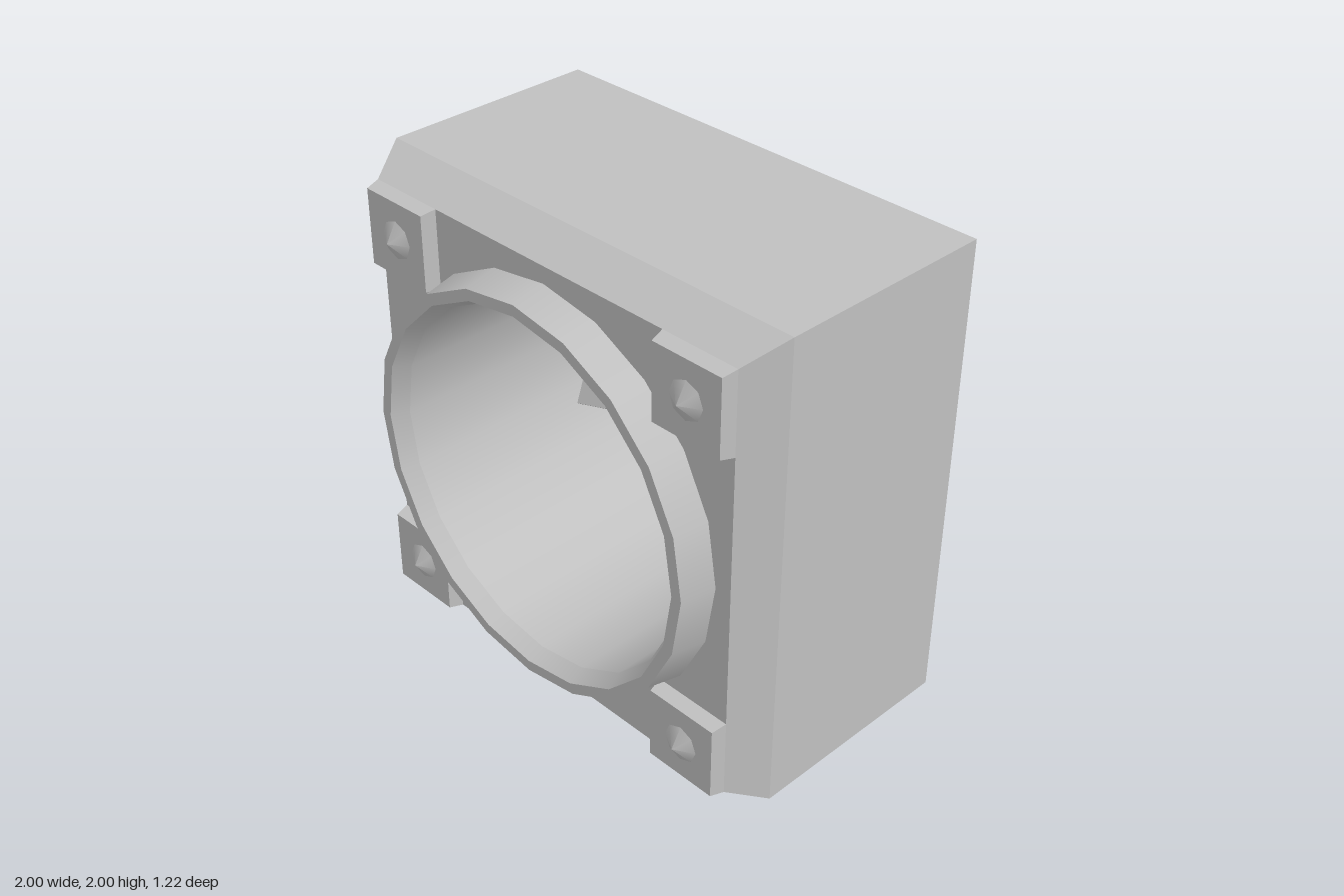
import * as THREE from 'three';

export function createModel() {
  const model = new THREE.Group();
  const body = new THREE.Group(); // centred on the fan axis
  body.name = 'fanUnit';
  body.position.y = 1;
  model.add(body);

  const grey = new THREE.MeshStandardMaterial({ color: 0xc0c0c0, side: THREE.DoubleSide });
  grey.name = 'grey';

  const add = (geometry, name, parent = body) => {
    const mesh = new THREE.Mesh(geometry, grey);
    mesh.name = name;
    parent.add(mesh);
    return mesh;
  };
  const flat = (geometry) => {
    const g = geometry.toNonIndexed();
    g.computeVertexNormals();
    return g;
  };
  // Square frustum along z, from half-width h0 at z0 to h1 at z1
  const square = (h0, z0, h1, z1, open) => flat(
    new THREE.CylinderGeometry(h1 * Math.SQRT2, h0 * Math.SQRT2, z1 - z0, 4, 1, open)
      .rotateY(Math.PI / 4).rotateX(Math.PI / 2).translate(0, 0, (z0 + z1) / 2));
  // Round band about the z axis between two radius/depth pairs
  const band = (r0, z0, r1, z1, sides = 20) => new THREE.LatheGeometry(
    [new THREE.Vector2(r0, z0), new THREE.Vector2(r1, z1)], sides).rotateX(Math.PI / 2);

  // Housing: thin shell, open at the back, with a chamfered front
  add(square(1, -0.61, 1, 0.31, true), 'housingWalls');
  add(square(1, 0.31, 0.915, 0.47, true), 'housingChamfer');
  const plate = new THREE.Shape([[-1, -1], [1, -1], [1, 1], [-1, 1]]
    .map(([x, y]) => new THREE.Vector2(x * 0.915, y * 0.915)));
  const hole = [];
  for (let i = 0; i < 20; i++) {
    const a = -i * Math.PI / 10;
    hole.push(new THREE.Vector2(Math.cos(a) * 0.74, Math.sin(a) * 0.74));
  }
  plate.holes.push(new THREE.Path(hole));
  add(new THREE.ShapeGeometry(plate).translate(0, 0, 0.47), 'frontPlate');

  // Corner pads with pointed bolts
  for (const x of [-0.747, 0.747]) {
    for (const y of [-0.747, 0.747]) {
      const corner = new THREE.Group();
      corner.name = 'cornerMount';
      corner.position.set(x, y, 0);
      body.add(corner);
      add(square(0.168, 0.47, 0.156, 0.53), 'cornerPad', corner);
      add(new THREE.ConeGeometry(0.078, 0.045, 8, 1, true)
        .rotateX(Math.PI / 2).translate(0, 0, 0.5525), 'bolt', corner);
    }
  }

  // Air duct: front rim, tube and back flange
  add(band(0.845, 0.47, 0.818, 0.61), 'rimOuter');
  add(band(0.818, 0.61, 0.772, 0.61), 'rimFace');
  add(band(0.772, 0.61, 0.74, 0.54), 'rimInner');
  add(band(0.74, 0.54, 0.74, -0.57), 'ductTube');
  add(band(0.74, -0.57, 0.575, -0.57), 'backFlange');

  // Half-pipe bars across the back
  const halfPipe = (r) => new THREE.CylinderGeometry(r, r, 1.69, 12, 1, true, -Math.PI / 2, Math.PI);
  add(halfPipe(0.112).rotateZ(Math.PI / 2).translate(0, 0, -0.59), 'crossBar');
  for (const x of [-0.19, 0, 0.19]) {
    add(halfPipe(0.039).translate(x, 0, -0.59), 'grilleBar');
  }

  // Fan: hub shell and six pitched blades
  const fan = new THREE.Group();
  fan.name = 'fan';
  fan.position.z = -0.3;
  body.add(fan);
  add(band(0.175, -0.08, 0.175, 0.03, 10), 'hubSide', fan);
  add(band(0.175, 0.03, 0.145, 0.06, 10), 'hubBevel', fan);
  add(band(0.145, 0.06, 0, 0.06, 10), 'hubFace', fan);
  for (let i = 0; i < 6; i++) {
    const blade = new THREE.BoxGeometry(0.57, 0.175, 0.02)
      .rotateX(0.6).translate(0.405, 0, 0)
      .rotateZ(THREE.MathUtils.degToRad(17.4 + i * 60));
    add(blade, 'blade', fan);
  }
  return model;
}
